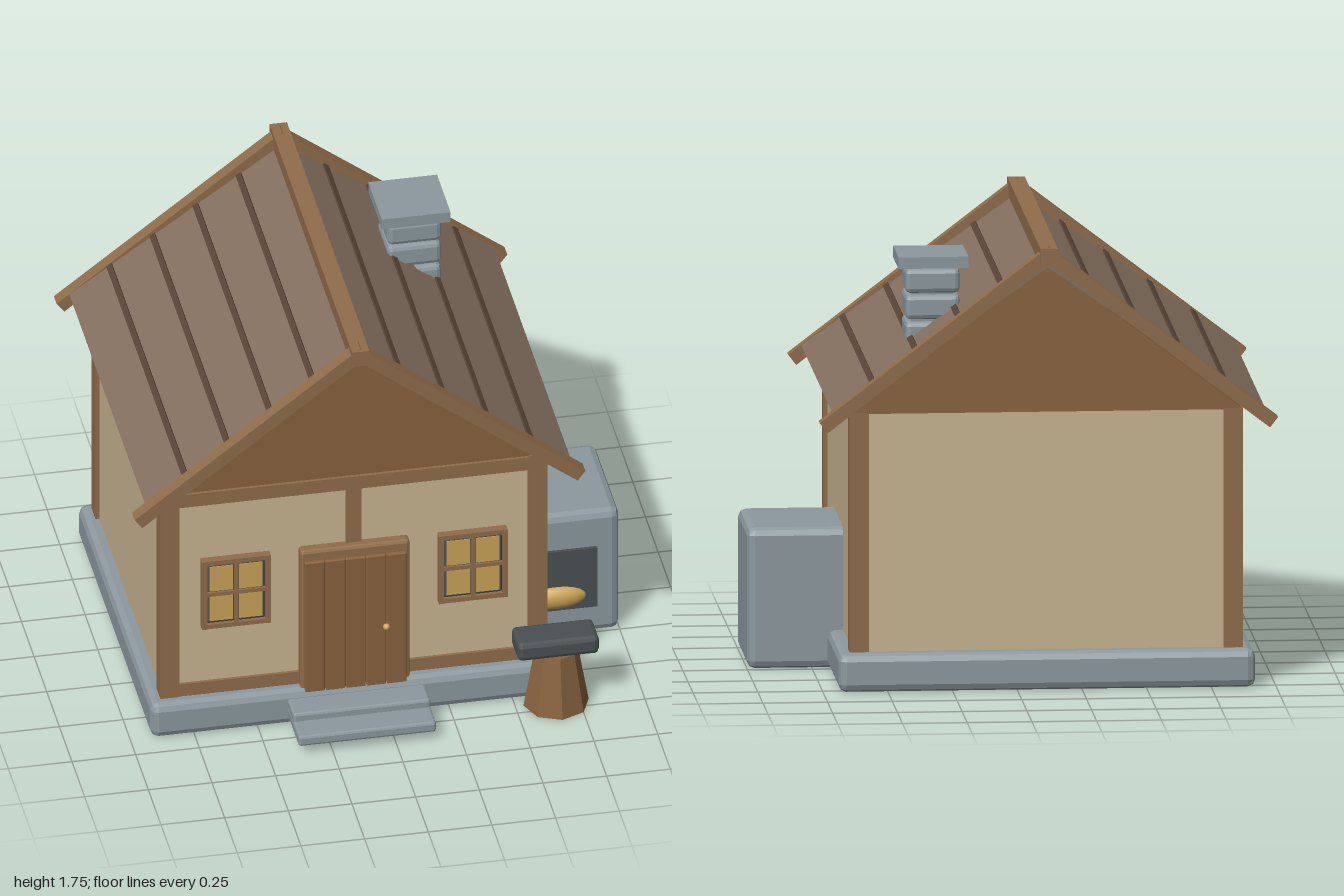
import * as THREE from 'three';
import { RoundedBoxGeometry } from 'three/addons/geometries/RoundedBoxGeometry.js';

const mat = (name, color) => {
  const m = new THREE.MeshStandardMaterial({ color });
  m.name = name;
  return m;
};

export function createModel() {
  const model = new THREE.Group();
  model.name = 'cottage';
  const plaster = mat('plaster', 0xc9b591);
  const timber = mat('timber', 0x906d4b);
  const boards = mat('boards', 0x88633f);
  const roofWood = mat('roofWood', 0x84705f);
  const batten = mat('batten', 0x594537);
  const stone = mat('stone', 0x8c999f);
  const iron = mat('iron', 0x4a5052);
  const gold = mat('gold', 0xcba458);
  const CX = -0.115; // middle of the house
  const CZ = -0.07;

  const add = (name, geo, material, parent = model) => {
    const m = new THREE.Mesh(geo, material);
    m.name = name;
    parent.add(m);
    return m;
  };
  // box given by its limits, with optional chamfer
  const box = (name, material, [x0, x1], [y0, y1], [z0, z1], bevel = 0, parent = model) => {
    const size = [x1 - x0, y1 - y0, z1 - z0];
    const geo = bevel ? new RoundedBoxGeometry(...size, 1, bevel) : new THREE.BoxGeometry(...size);
    if (bevel) geo.computeVertexNormals(); // faceted chamfers
    const m = add(name, geo, material, parent);
    m.position.set((x0 + x1) / 2, (y0 + y1) / 2, (z0 + z1) / 2);
    return m;
  };

  // foundation, steps and walls
  box('foundation', stone, [-0.92, 0.69], [0, 0.15], [-0.8, 0.66], 0.03);
  box('lowerStep', stone, [-0.385, 0.155], [0.04, 0.085], [0.6, 0.88], 0.01);
  box('upperStep', stone, [-0.385, 0.155], [0.075, 0.118], [0.6, 0.77], 0.01);
  box('walls', plaster, [-0.86, 0.63], [0.14, 1.085], [-0.735, 0.595]);

  // timber frame
  for (const x of [-0.875, 0.57])
    for (const z of [-0.75, 0.535])
      box('cornerPost', timber, [x, x + 0.075], [0.145, 1.085], [z, z + 0.075]);
  box('topBeam', timber, [-0.8, 0.57], [1.025, 1.083], [0.58, 0.617]);
  box('bottomBeam', timber, [-0.8, 0.57], [0.148, 0.205], [0.58, 0.607]);
  box('centrePost', timber, [CX - 0.03, CX + 0.03], [0.75, 1.025], [0.58, 0.607]);

  // gable
  const tri = new THREE.Shape([
    new THREE.Vector2(-0.76, 1.08), new THREE.Vector2(0.76, 1.08), new THREE.Vector2(0, 1.662),
  ]);
  add('gable', new THREE.ExtrudeGeometry(tri, { depth: 1.35, bevelEnabled: false }), boards)
    .position.set(CX, 0, CZ - 0.675);

  // roof: each side hangs from the ridge and is built in its own sloped frame
  for (const s of [-1, 1]) {
    const sloped = (name, y, slope) => {
      const g = new THREE.Group();
      g.name = name;
      g.position.set(CX, y, CZ);
      g.rotation.z = -s * Math.atan(slope);
      model.add(g);
      return g;
    };
    const span = (a, b) => (s > 0 ? [a, b] : [-b, -a]);
    const stretch = Math.hypot(1, 0.7);
    const deck = sloped('roofSide', 1.69, 0.7);
    box('roofDeck', roofWood, span(0, 0.835 * stretch), [-0.028, 0], [-0.745, 0.745], 0, deck);
    for (let i = 1; i <= 4; i++) {
      const d = 0.169 * i * stretch;
      box('roofBatten', batten, span(d - 0.012, d + 0.012), [-0.01, 0.008], [-0.743, 0.743], 0, deck);
    }
    const rake = sloped('rakeBoards', 1.745, 0.765);
    for (const z of [-0.8, 0.745])
      box('rakeBoard', timber, span(0, 0.885 * Math.hypot(1, 0.765)), [-0.05, 0], [z, z + 0.055], 0, rake);
  }
  box('ridgeBeam', timber, [CX - 0.034, CX + 0.034], [1.675, 1.741], [-0.888, 0.745]);

  // chimney
  for (const [y0, y1] of [[1.2, 1.305], [1.31, 1.395], [1.405, 1.5], [1.508, 1.602]])
    box('chimneyBlock', stone, [0.2, 0.41], [y0, y1], [-0.513, -0.303], 0.018);
  box('chimneyCore', stone, [0.225, 0.385], [1.2, 1.62], [-0.488, -0.328]);
  box('chimneyCap', stone, [0.17, 0.44], [1.61, 1.655], [-0.543, -0.275]);

  // door
  box('doorFrame', timber, [-0.33, 0.1], [0.12, 0.775], [0.58, 0.638], 0.012);
  for (let i = 0; i < 5; i++) {
    const x = -0.315 + i * 0.08;
    box('doorPlank', boards, [x, x + 0.078], [0.12, 0.73], [0.62, 0.653], 0.004);
  }
  add('doorKnob', new THREE.SphereGeometry(0.014, 10, 8), gold).position.set(0.002, 0.405, 0.663);

  // windows
  for (const x of [CX - 0.465, CX + 0.465]) {
    const w = new THREE.Group();
    w.name = 'window';
    w.position.set(x, 0.615, 0);
    model.add(w);
    box('windowBack', iron, [-0.118, 0.118], [-0.14, 0.14], [0.58, 0.617], 0.012, w);
    for (const s of [-1, 1]) {
      const a = s * 0.125, b = s * 0.145;
      box('frameSide', timber, [a - 0.01, a + 0.01], [-0.155, 0.155], [0.58, 0.63], 0, w);
      box('frameRail', timber, [-0.135, 0.135], [b - 0.01, b + 0.01], [0.58, 0.628], 0, w);
      for (const t of [-1, 1])
        box('pane', gold, [s * 0.058 - 0.046, s * 0.058 + 0.046], [t * 0.068 - 0.056, t * 0.068 + 0.056],
          [0.614, 0.62], 0, w);
    }
    box('uprightBar', timber, [-0.008, 0.008], [-0.14, 0.14], [0.6, 0.627], 0, w);
    box('crossBar', timber, [-0.118, 0.118], [-0.008, 0.008], [0.6, 0.626], 0, w);
  }

  // oven with a loaf in its mouth
  box('oven', stone, [0.5, 1], [0, 0.55], [-0.238, 0.25], 0.03);
  box('ovenMouth', iron, [0.59, 0.91], [0.125, 0.395], [0.2, 0.263]);
  const loaf = add('loaf', new THREE.SphereGeometry(1, 14, 10), gold);
  loaf.scale.set(0.12, 0.05, 0.038);
  loaf.position.set(0.75, 0.185, 0.257);

  // anvil on a stump
  const stump = new THREE.CylinderGeometry(0.085, 0.128, 0.25, 8).toNonIndexed();
  stump.computeVertexNormals();
  add('stump', stump, boards).position.set(0.66, 0.125, 0.703);
  box('anvil', iron, [0.497, 0.817], [0.247, 0.325], [0.63, 0.775], 0.018);

  return model;
}
